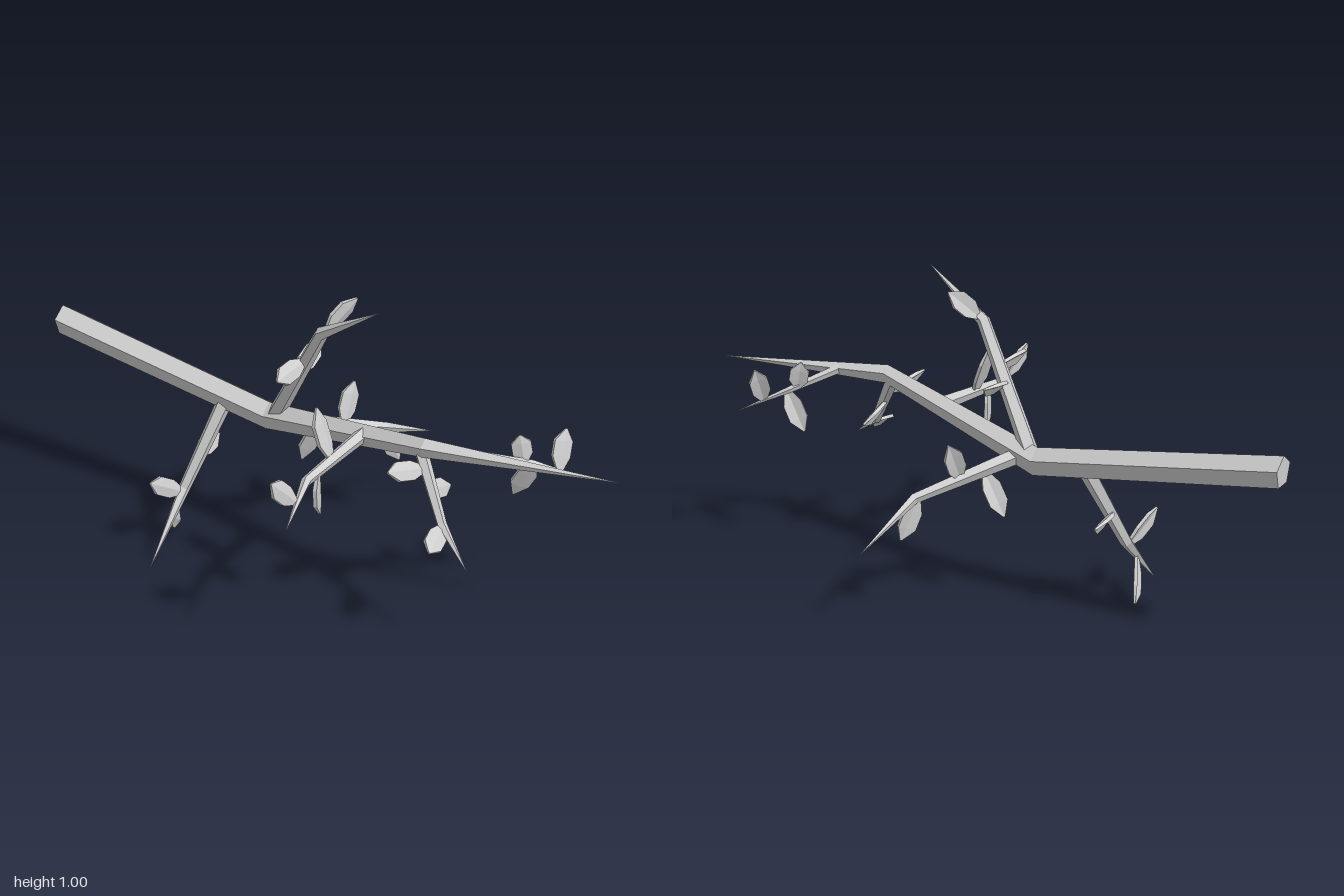
import * as THREE from 'three';

const V = (a) => new THREE.Vector3(...a);
const material = new THREE.MeshStandardMaterial({ color: 0xcccccc, flatShading: true });

// Right-handed frame: y along the part, z as near as possible to the hint
function frame(dir, hint) {
  const y = dir.clone().normalize();
  const z = V(hint).addScaledVector(y, -V(hint).dot(y)).normalize();
  return { x: y.clone().cross(z), y, z };
}

function addMesh(group, name, geometry) {
  const flat = geometry.toNonIndexed();
  flat.computeVertexNormals();
  const mesh = new THREE.Mesh(flat, material);
  mesh.name = name;
  group.add(mesh);
}

// Five-sided tapering limb through the given points, one ring per point
function branch(points, radii) {
  const pts = points.map(V);
  const n = pts.length - 1;
  const geo = new THREE.CylinderGeometry(1, 1, 1, 5, n);
  const f = frame(pts[n].clone().sub(pts[0]), [0, 1, 0]);
  const pos = geo.attributes.position;
  for (let i = 0; i < pos.count; i++) {
    const k = Math.round((pos.getY(i) + 0.5) * n);
    const p = pts[k].clone()
      .addScaledVector(f.x, pos.getX(i) * radii[k])
      .addScaledVector(f.z, pos.getZ(i) * radii[k]);
    pos.setXYZ(i, p.x, p.y, p.z);
  }
  return geo;
}

// Thin folded leaf with a narrow base, broad middle and pointed tip
const LEAF_S = [0, 0.32, 0.7, 1];
const LEAF_W = [0.01, 0.03, 0.03, 0.003];
const LEAF_T = [0.005, 0.006, 0.006, 0.003];
function leaf(base, tip, normal) {
  const b = V(base);
  const axis = V(tip).sub(b);
  const f = frame(axis, normal);
  const geo = new THREE.BoxGeometry(1, 1, 1, 2, 3, 1);
  const pos = geo.attributes.position;
  for (let i = 0; i < pos.count; i++) {
    const k = Math.round((pos.getY(i) + 0.5) * 3);
    const u = pos.getX(i) * 2 * LEAF_W[k];
    const p = b.clone().addScaledVector(axis, LEAF_S[k])
      .addScaledVector(f.x, u)
      .addScaledVector(f.z, pos.getZ(i) * 2 * LEAF_T[k] - Math.abs(u) * 0.25);
    pos.setXYZ(i, p.x, p.y, p.z);
  }
  return geo;
}

export function createModel() {
  const model = new THREE.Group();
  model.name = 'leafyBranch';

  // Main limb, cut at the back and pointed at the front
  addMesh(model, 'mainBranch', branch(
    [[-0.035, 0.6, -1], [0.03, 0.47, -0.2], [-0.045, 0.603, 0.43], [0.115, 0.6, 0.985]],
    [0.05, 0.046, 0.031, 0.001]));

  // Side twigs: root, bend and tip, with radii at root and bend
  const twigs = [
    ['upperTwig', [[0.025, 0.47, -0.18], [-0.033, 0.86, 0.045], [-0.05, 0.998, 0.26]], 0.03, 0.022],
    ['rightTwig', [[0.03, 0.475, -0.13], [0.31, 0.38, 0.06], [0.535, 0.27, 0.09]], 0.027, 0.017],
    ['lowerTwig', [[0.015, 0.49, -0.36], [-0.135, 0.2, -0.425], [-0.33, 0.003, -0.415]], 0.028, 0.02],
    ['leftTwig', [[-0.018, 0.56, 0.195], [-0.32, 0.54, 0.195], [-0.535, 0.515, 0.28]], 0.024, 0.016],
    ['frontLowerTwig', [[-0.04, 0.59, 0.41], [-0.107, 0.405, 0.535], [-0.165, 0.32, 0.66]], 0.022, 0.016],
    ['frontRightTwig', [[0.005, 0.605, 0.59], [0.14, 0.55, 0.69], [0.25, 0.487, 0.81]], 0.016, 0.011],
  ];
  for (const [name, points, r0, r1] of twigs) {
    addMesh(model, name, branch(points, [r0, r1, 0.001]));
  }

  // Leaves: base, tip and facing direction
  const front = [0, 0.15, 1];
  const tilted = [0, 0.6, 0.8];
  const leaves = [
    // upper twig
    [[-0.025, 0.87, 0.06], [0.06, 0.96, 0.11], front],
    [[-0.02, 0.737, -0.03], [-0.17, 0.735, -0.02], tilted],
    [[0.0, 0.685, -0.06], [0.152, 0.715, -0.09], [0, 0.75, 0.65]],
    // left twig
    [[-0.19, 0.55, 0.195], [-0.185, 0.705, 0.135], front],
    [[-0.42, 0.53, 0.23], [-0.505, 0.625, 0.205], front],
    [[-0.265, 0.545, 0.2], [-0.25, 0.39, 0.195], [0.4, 0, 0.9]],
    // front lower twig
    [[-0.06, 0.54, 0.44], [-0.197, 0.58, 0.4], tilted],
    [[-0.105, 0.4, 0.54], [-0.22, 0.375, 0.565], [0, 0.8, 0.6]],
    [[-0.085, 0.49, 0.475], [0.04, 0.445, 0.47], tilted],
    // lower twig
    [[-0.075, 0.31, -0.405], [0.058, 0.31, -0.43], tilted],
    [[-0.145, 0.19, -0.425], [-0.272, 0.275, -0.45], front],
    [[-0.205, 0.125, -0.42], [-0.085, 0.025, -0.49], front],
    // right twig
    [[0.3, 0.38, 0.055], [0.348, 0.25, 0.085], [-0.5, 0, 0.85]],
    [[0.12, 0.435, -0.065], [0.105, 0.295, -0.13], [-0.5, 0, 0.85]],
    [[0.185, 0.425, -0.02], [0.248, 0.55, -0.025], [-0.5, 0, 0.85]],
    // front right twig
    [[0.12, 0.555, 0.675], [0.12, 0.643, 0.655], [-0.8, 0, 0.6]],
    [[0.14, 0.545, 0.7], [0.143, 0.42, 0.63], [-0.8, 0, 0.6]],
    [[0.195, 0.52, 0.755], [0.248, 0.635, 0.74], [-0.6, 0, 0.8]],
  ];
  for (const [base, tip, normal] of leaves) addMesh(model, 'leaf', leaf(base, tip, normal));

  return model;
}
